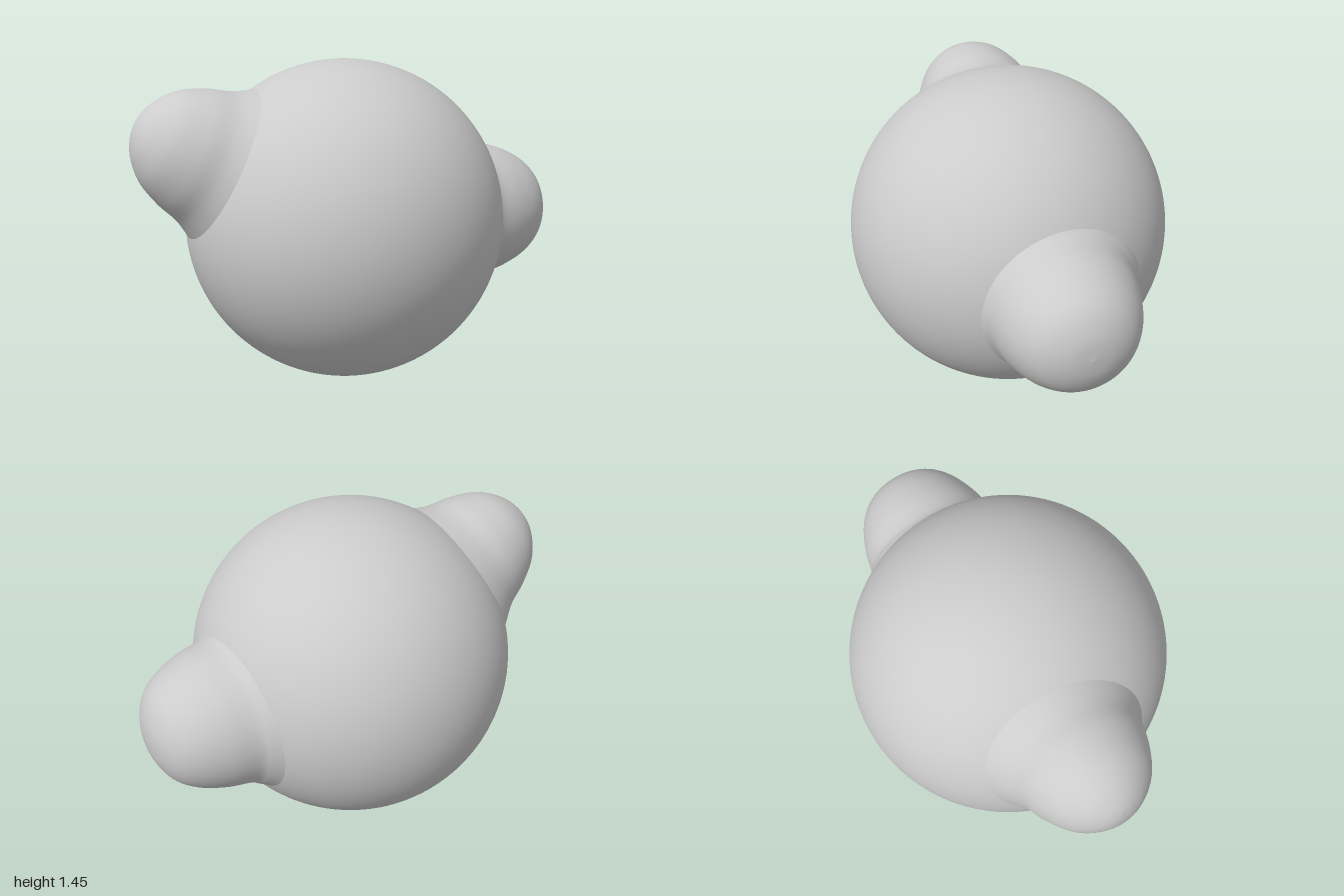
import * as THREE from 'three';

const CENTER = new THREE.Vector3(-0.04, 0.725, 0);
const RADIUS = 0.725;

// Rounded lobe with a flared root: [radius, distance along axis] from root to tip
function makeLobe(name, profile, origin, direction, material) {
  const points = profile.map(([r, t]) => new THREE.Vector2(r, t));
  const curve = new THREE.SplineCurve(points);
  const smooth = curve.getPoints(40).map((p) => new THREE.Vector2(Math.max(p.x, 0), p.y));
  const lobe = new THREE.Mesh(new THREE.LatheGeometry(smooth, 64), material);
  lobe.name = name;
  lobe.position.copy(origin);
  lobe.quaternion.setFromUnitVectors(new THREE.Vector3(0, 1, 0), direction.normalize());
  return lobe;
}

export function createModel() {
  const group = new THREE.Group();
  group.name = 'lobedSphere';
  const material = new THREE.MeshStandardMaterial({ color: 0xcccccc });

  // Large round body
  const body = new THREE.Mesh(new THREE.SphereGeometry(RADIUS, 96, 64), material);
  body.name = 'body';
  body.position.copy(CENTER);
  group.add(body);

  // Lobe on the model's left, pointing straight out
  group.add(makeLobe('leftLobe',
    [[0.39, 0.58], [0.355, 0.635], [0.33, 0.68], [0.305, 0.79], [0.26, 0.9],
      [0.195, 0.98], [0.1, 1.027], [0, 1.04]],
    new THREE.Vector3(CENTER.x, 0.705, -0.03), new THREE.Vector3(1, 0, 0), material));

  // Lobe on the model's right, tilted upward
  group.add(makeLobe('rightLobe',
    [[0.39, 0.58], [0.35, 0.64], [0.305, 0.72], [0.272, 0.82], [0.215, 0.93],
      [0.135, 1.005], [0.06, 1.04], [0, 1.05]],
    new THREE.Vector3(CENTER.x, CENTER.y, -0.03), new THREE.Vector3(-0.894, 0.447, 0), material));

  return group;
}
